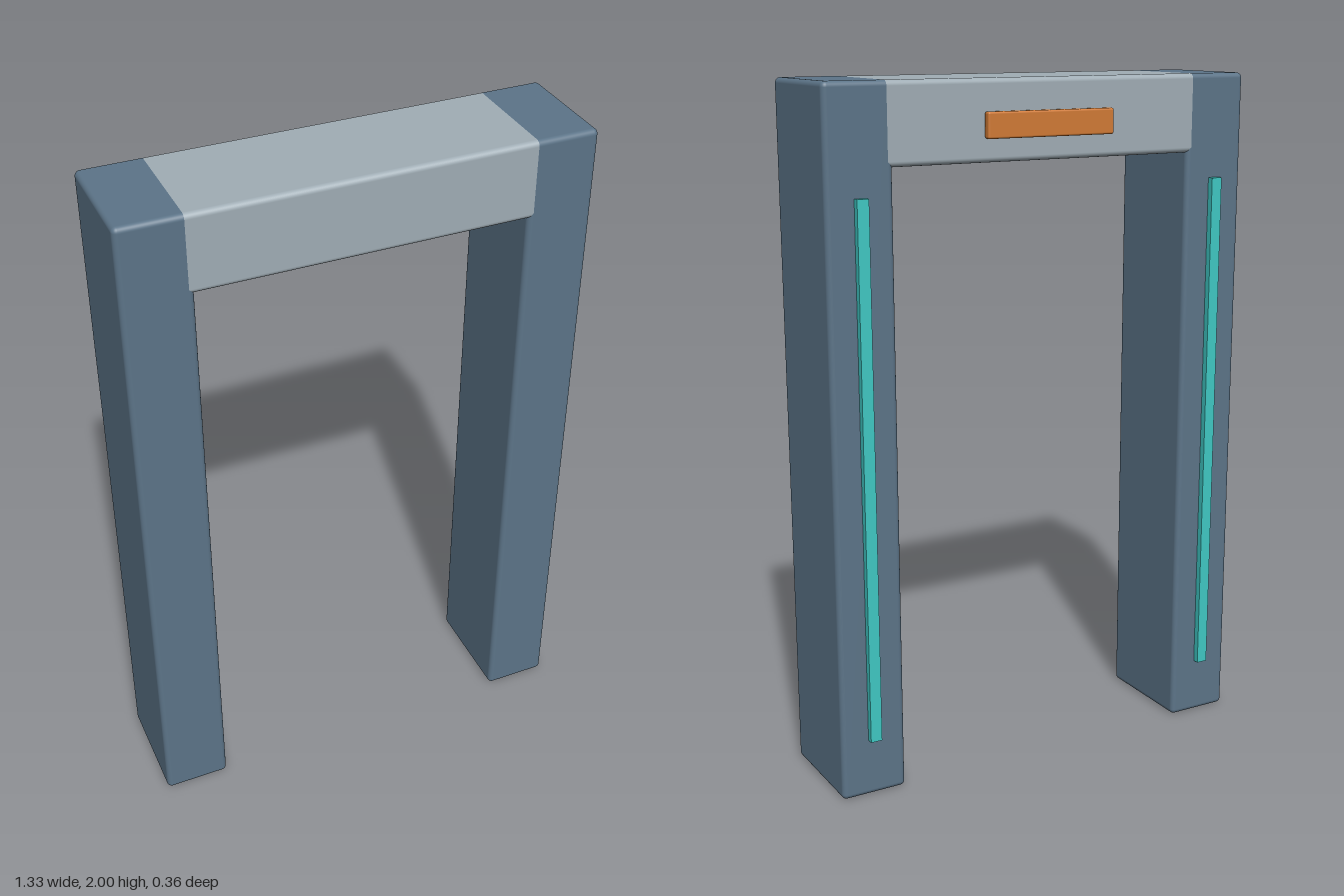
import * as THREE from 'three';
import { RoundedBoxGeometry } from 'three/addons/geometries/RoundedBoxGeometry.js';

const BACK = -0.154, FRONT = 0.18, RADIUS = 0.015;

const paint = (color) => new THREE.MeshStandardMaterial({ color });

// Box given by its low and high corners; a radius rounds its edges
function block(name, [x0, y0, z0], [x1, y1, z1], material, radius = 0) {
  const size = [x1 - x0, y1 - y0, z1 - z0];
  const geometry = radius
    ? new RoundedBoxGeometry(...size, 4, radius)
    : new THREE.BoxGeometry(...size);
  const mesh = new THREE.Mesh(geometry, material);
  mesh.name = name;
  mesh.position.set((x0 + x1) / 2, (y0 + y1) / 2, (z0 + z1) / 2);
  return mesh;
}

export function createModel() {
  const model = new THREE.Group();
  model.name = 'walkThroughGate';
  const postPaint = paint(0x5c7488);
  const beamPaint = paint(0xa0adb5);
  const stripPaint = paint(0x40c8c4);
  const panelPaint = paint(0xd07a35);

  // Posts, each with a light strip on its back
  for (const [side, s] of [['left', 1], ['right', -1]]) {
    const post = block(side + 'Post', [0.47, 0, BACK], [0.665, 2, FRONT], postPaint, RADIUS);
    const strip = block(side + 'LightStrip', [0.55, 0.17, -0.173], [0.584, 1.7, BACK], stripPaint);
    post.position.x *= s;
    strip.position.x *= s;
    model.add(post, strip);
  }

  // Header beam, its rounded ends hidden inside the posts
  model.add(block('headerBeam', [-0.5, 1.775, BACK], [0.5, 2, FRONT], beamPaint, RADIUS));

  // Indicator panel on the back of the beam
  model.add(block('indicatorPanel', [-0.2, 1.84, -0.18], [0.2, 1.912, -0.156], panelPaint, 0.006));

  return model;
}
